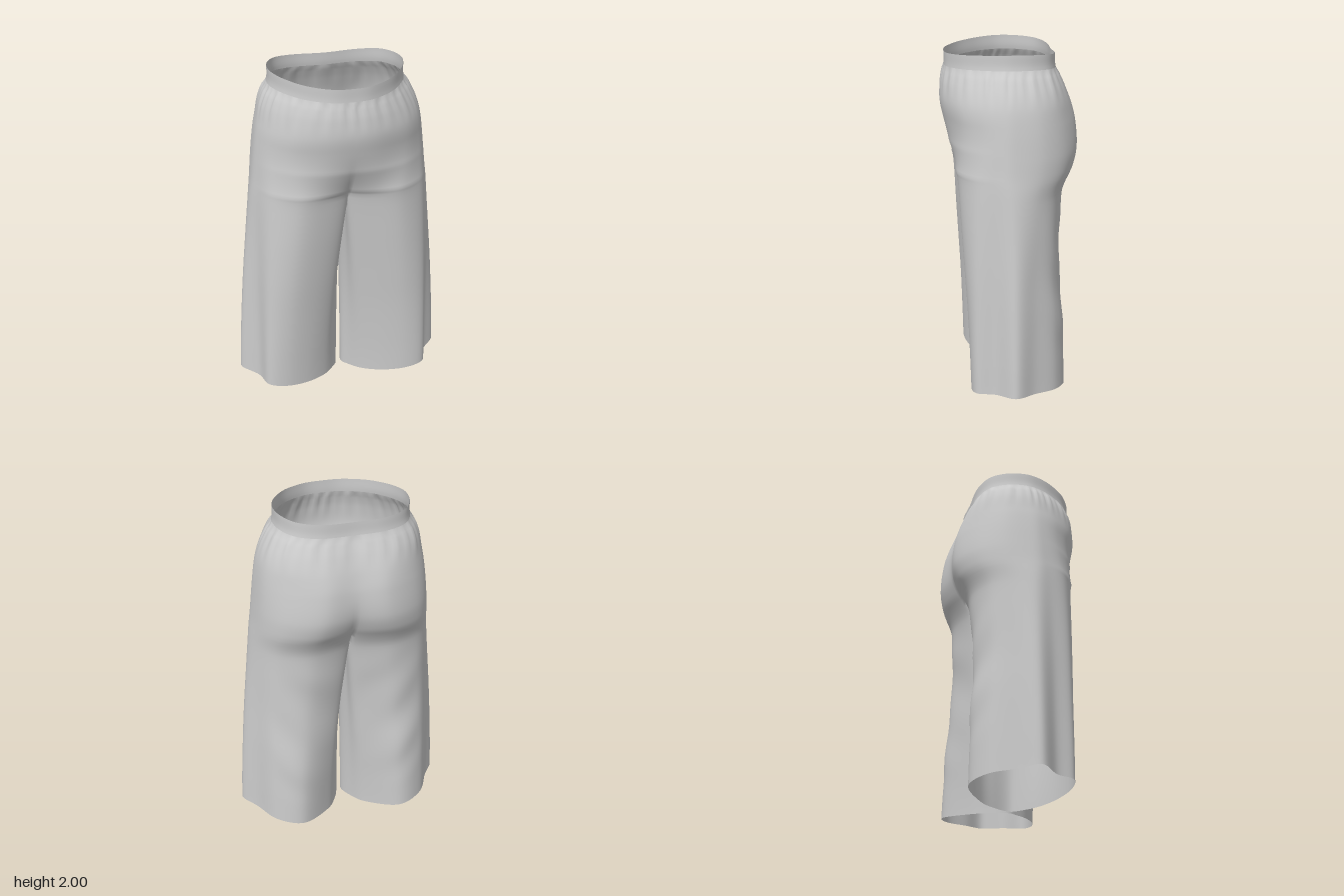
import * as THREE from 'three';
import { mergeGeometries, mergeVertices } from 'three/addons/utils/BufferGeometryUtils.js';

const CROTCH = 1.3, SEAT = 1.62, BAND = 1.9, TOP = 1.975;
const OUTER = 9; // section points 0..9 run front to back round the outside, 10..12 back along the inner leg

// Half widths and depths by height: y, side x, front z, back z
const PROFILE = [
  [0, 0.628, 0.245, 0.31], [0.2, 0.62, 0.25, 0.305], [0.5, 0.602, 0.26, 0.295], [0.75, 0.583, 0.273, 0.277],
  [1.0, 0.56, 0.285, 0.283], [1.2, 0.54, 0.293, 0.295], [1.27, 0.532, 0.297, 0.32], [1.35, 0.521, 0.307, 0.362],
  [1.45, 0.51, 0.33, 0.385], [1.6, 0.493, 0.37, 0.375], [1.7, 0.477, 0.388, 0.35], [1.8, 0.45, 0.382, 0.31],
  [1.86, 0.42, 0.37, 0.281], [1.9, 0.39, 0.36, 0.262], [1.975, 0.385, 0.36, 0.256],
];

// Unit cross-sections of the left half: x over side x, z over front or back z
const WAIST = [[0, 1], [0.3, 0.96], [0.62, 0.76], [0.84, 0.48], [0.96, 0.22], [1, -0.03], [0.95, -0.45],
  [0.78, -0.82], [0.45, -1], [0, -1], [-0.45, -1], [0, 0], [-0.3, 0.96]];
const HIP = [[0, 1], [0.32, 0.95], [0.65, 0.76], [0.86, 0.49], [0.97, 0.22], [1, -0.03], [0.94, -0.44],
  [0.73, -0.78], [0.37, -1], [0, -0.96], [-0.37, -1], [0, 0], [-0.32, 0.95]];
const FORK = [[0, 0.76], [0.25, 0.95], [0.55, 0.99], [0.82, 0.72], [0.95, 0.34], [1, 0], [0.93, -0.46],
  [0.74, -0.82], [0.4, -1], [0, -0.82], [0, -0.4], [0, 0], [0, 0.4]];
const HEM = [[0.2, 0.58], [0.39, 0.86], [0.61, 1], [0.785, 0.9], [0.85, 0.46], [0.998, 0.02], [0.88, -0.36],
  [0.74, -0.81], [0.49, -1], [0.2, -0.63], [0.08, -0.3], [0.025, 0], [0.085, 0.27]];

const { smoothstep, lerp } = THREE.MathUtils;

// Smooth reading of one profile column
function profile(y, col) {
  const P = PROFILE;
  let i = 0;
  while (i < P.length - 2 && y > P[i + 1][0]) i++;
  const slope = (k) => {
    const a = P[Math.max(k - 1, 0)], b = P[Math.min(k + 1, P.length - 1)];
    return (b[col] - a[col]) / (b[0] - a[0]);
  };
  const h = P[i + 1][0] - P[i][0], t = (y - P[i][0]) / h, t2 = t * t, t3 = t2 * t;
  return (2 * t3 - 3 * t2 + 1) * P[i][col] + (t3 - 2 * t2 + t) * h * slope(i)
    + (3 * t2 - 2 * t3) * P[i + 1][col] + (t3 - t2) * h * slope(i + 1);
}

// Section at a height, blended between the unit shapes and fitted to the profile
function section(y) {
  let a, b, t;
  if (y > SEAT) [a, b, t] = [HIP, WAIST, smoothstep(y, SEAT, BAND)];
  else if (y > CROTCH) [a, b, t] = [FORK, HIP, 1 - ((SEAT - y) / (SEAT - CROTCH)) ** 2];
  else [a, b, t] = [HEM, FORK, Math.pow(y / CROTCH, 1.5)];
  const unit = a.map((p, i) => [lerp(p[0], b[i][0], t), lerp(p[1], b[i][1], t)]);
  const depths = unit.map((p) => p[1]);
  const w = profile(y, 1), f = profile(y, 2) / Math.max(...depths), r = profile(y, 3) / -Math.min(...depths);
  return unit.map(([x, z]) => [x * w, z * (z > 0 ? f : r)]);
}

// Catmull-Rom point on a closed section, u counted in control points
function pointOn(pts, u) {
  const n = pts.length, i = Math.floor(u), t = u - i;
  const [p, q, r, s] = [-1, 0, 1, 2].map((k) => pts[(i + k + n) % n]);
  return [0, 1].map((k) => 0.5 * (2 * q[k] + (r[k] - p[k]) * t
    + (2 * p[k] - 5 * q[k] + 4 * r[k] - s[k]) * t * t + (3 * q[k] - p[k] - 3 * r[k] + s[k]) * t * t * t));
}

// Cloth point, with gathers under the band, folds behind the legs and curved edges
function clothPoint(pts, u, y, side, open) {
  let [x, z] = pointOn(pts, u);
  const gather = smoothstep(y, 1.7, 1.87) * (1 - smoothstep(y, 1.87, BAND));
  const fold = smoothstep(u, 6.5, 8) * (1 - smoothstep(u, 8, 9.5)) * smoothstep(y, 0.1, 0.4) * (1 - smoothstep(y, 0.9, 1.25));
  const push = 0.004 * gather * (Math.cos(u * 13) + 0.6 * Math.cos(u * 7.3 + 1))
    + 0.006 * fold * Math.sin(y * 17 + u * 2.5 + side);
  const len = Math.hypot(x, z) || 1;
  x += (x / len) * push;
  z += (z / len) * push;
  if (open && (u === 0 || u === OUTER)) x = 0;
  x = Math.max(x, 0);
  const lift = 0.14 * x ** 1.25 * Math.max(0, 1 - y / CROTCH) + 0.025 * (x / 0.385) ** 2 * smoothstep(y, 1.8, TOP);
  return [side * x - 0.013 * smoothstep(y, 1.7, BAND), y + lift, z];
}

// Grid of cloth for one side: an open half ring, or a closed leg
function panel(y0, y1, rows, side, open) {
  const span = open ? OUTER : HEM.length, cols = span * 8;
  const pos = [], index = [];
  for (let j = 0; j <= rows; j++) {
    const y = lerp(y0, y1, j / rows), pts = section(y);
    for (let i = 0; i <= cols; i++) pos.push(...clothPoint(pts, i === cols && !open ? 0 : i / 8, y, side, open));
  }
  for (let j = 0; j < rows; j++) {
    for (let i = 0; i < cols; i++) {
      const a = j * (cols + 1) + i, b = a + 1, d = a + cols + 1, c = d + 1;
      if (side > 0) index.push(a, b, c, a, c, d);
      else index.push(a, c, b, a, d, c);
    }
  }
  const g = new THREE.BufferGeometry();
  g.setAttribute('position', new THREE.Float32BufferAttribute(pos, 3));
  g.setIndex(index);
  return g;
}

export function createModel() {
  const group = new THREE.Group();
  group.name = 'shorts';
  const cloth = new THREE.MeshStandardMaterial({ color: 0xcccccc, side: THREE.DoubleSide });
  const add = (name, panels) => {
    const geometry = mergeVertices(mergeGeometries(panels), 1e-5);
    geometry.computeVertexNormals();
    const mesh = new THREE.Mesh(geometry, cloth);
    mesh.name = name;
    group.add(mesh);
  };
  const sides = [1, -1];

  // Seat and both legs, sewn together at the fork
  add('seatAndLegs', sides.flatMap((s) => [panel(CROTCH, BAND, 40, s, true), panel(0, CROTCH, 48, s, false)]));
  // Smooth band above the gathers
  add('waistband', sides.map((s) => panel(BAND, TOP, 6, s, true)));
  return group;
}
